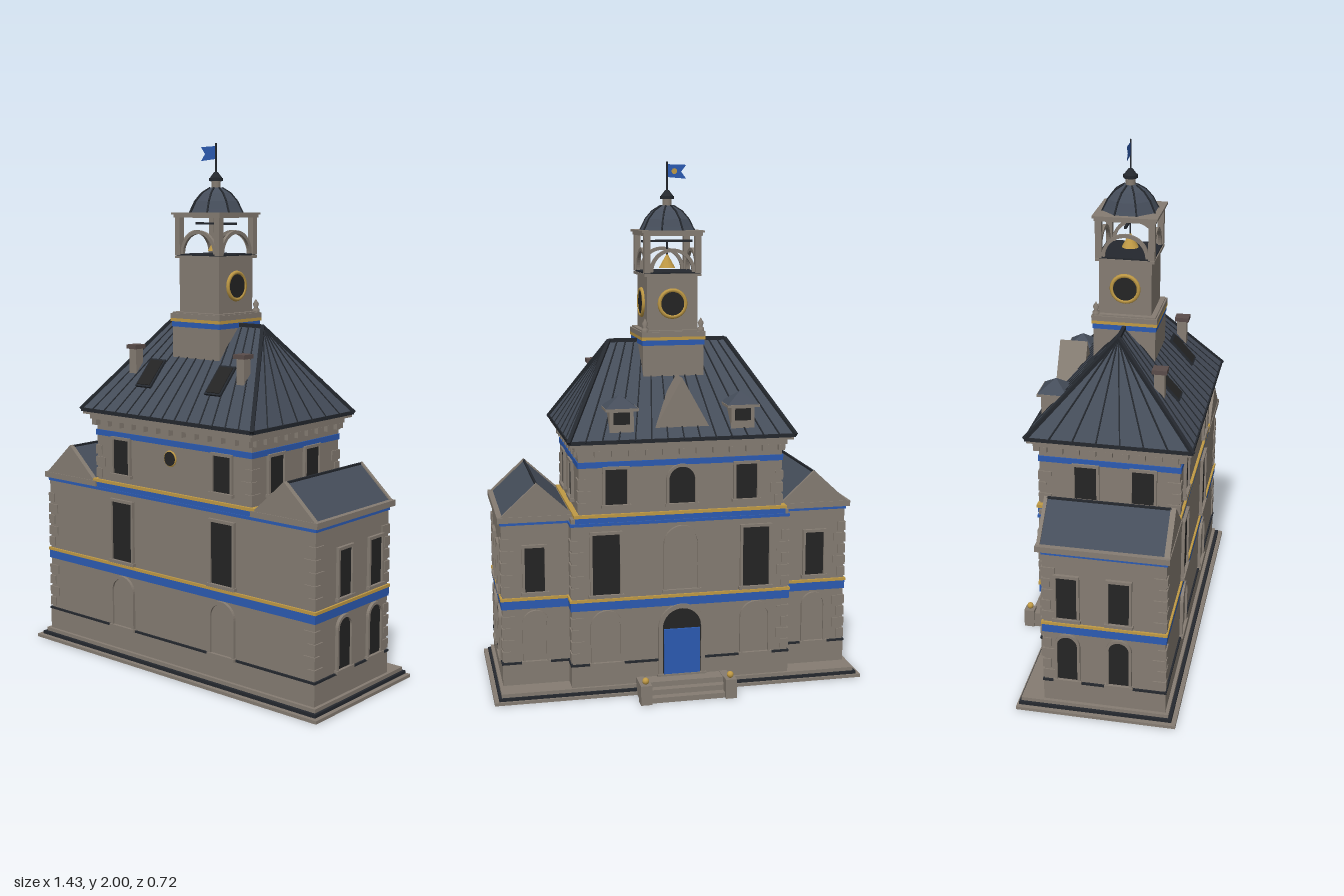
import * as THREE from 'three';
import { ConvexGeometry } from 'three/addons/geometries/ConvexGeometry.js';

const mat = (name, color, side = THREE.FrontSide) => {
  const m = new THREE.MeshStandardMaterial({ color, side });
  m.name = name;
  return m;
};

export function createModel() {
  const stone = mat('stone', 0x857c72), slate = mat('slate', 0x454d5a), seamMat = mat('darkLead', 0x24282e);
  const blue = mat('blue', 0x2c5bb2, THREE.DoubleSide), gold = mat('gold', 0xc09a45), glass = mat('darkGlass', 0x242424);
  const chimneyTop = mat('chimneyPot', 0x5a4c4a);
  const root = new THREE.Group();
  const V = (x, y, z) => new THREE.Vector3(x, y, z);

  const add = (name, geo, m, parent = root) => {
    const mesh = new THREE.Mesh(geo, m);
    mesh.name = name;
    parent.add(mesh);
    return mesh;
  };
  // box given by its limits on each axis
  const box = (name, x0, x1, y0, y1, z0, z1, m = stone, parent = root) => {
    const b = add(name, new THREE.BoxGeometry(x1 - x0, y1 - y0, z1 - z0), m, parent);
    b.position.set((x0 + x1) / 2, (y0 + y1) / 2, (z0 + z1) / 2);
    return b;
  };
  const hull = (name, pts, m) => add(name, new ConvexGeometry(pts.map(p => V(...p))), m);
  // square bar between two points
  const bar = (name, a, b, t, m = seamMat) => {
    const d = b.clone().sub(a);
    const r = add(name, new THREE.BoxGeometry(t, t, d.length()), m);
    r.position.copy(a).addScaledVector(d, 0.5);
    r.lookAt(b);
    return r;
  };
  const outline = (w, h, arched, target) => {
    const r = w / 2;
    target.moveTo(-r, 0);
    target.lineTo(r, 0);
    if (arched) {
      target.lineTo(r, h - r);
      target.absarc(0, h - r, r, 0, Math.PI, false);
    } else {
      target.lineTo(r, h);
      target.lineTo(-r, h);
    }
    target.closePath();
    return target;
  };
  const turn = { front: 0, right: Math.PI / 2, back: Math.PI, left: -Math.PI / 2 };
  const facing = (name, side, x, y, z) => {
    const g = new THREE.Group();
    g.name = name;
    g.position.set(x, y, z);
    g.rotation.y = turn[side];
    root.add(g);
    return g;
  };
  // framed opening with pane and sill
  const opening = (name, side, x, y, z, w, h, arched, fill = glass, b = 0.01) => {
    const g = facing(name, side, x, y, z);
    const s = outline(w + 2 * b, h + b, arched, new THREE.Shape());
    s.holes.push(outline(w, h, arched, new THREE.Path()).translateY?.(0) ?? outline(w, h - 0.001, arched, new THREE.Path()));
    add('frame', new THREE.ExtrudeGeometry(s, { depth: 0.012, bevelEnabled: false, curveSegments: 10 }), stone, g);
    const pane = new THREE.ExtrudeGeometry(outline(w, h, arched, new THREE.Shape()), { depth: 0.004, bevelEnabled: false, curveSegments: 10 });
    add('pane', pane, fill, g);
    box('sill', -w / 2 - b - 0.005, w / 2 + b + 0.005, -0.01, 0.002, 0, 0.016, stone, g);
    return g;
  };

  // footing, walls and string courses
  box('footing', -0.717, 0.717, 0, 0.012, -0.25, 0.352);
  box('footingShadowStep', -0.70, 0.70, 0.012, 0.024, -0.242, 0.335, seamMat);
  box('footingStep', -0.69, 0.69, 0.024, 0.038, -0.235, 0.322);
  const tier = (name, y0, y1, m, grow) => {
    box(name, -0.673 - grow, 0.673 + grow, y0, y1, -0.145 - grow, 0.305 + grow, m);
    box(name + 'Pavilion', -0.42 - grow, 0.42 + grow, y0, y1, -0.22 - grow, 0.305 + grow, m);
  };
  tier('lowerWall', 0.03, 0.69, stone, 0);
  tier('plinth', 0.03, 0.12, stone, 0.004);
  tier('plinthLine', 0.12, 0.128, seamMat, 0.007);
  tier('blueBand', 0.337, 0.37, blue, 0.005);
  tier('goldBand', 0.37, 0.381, gold, 0.008);
  tier('upperBlueBand', 0.662, 0.673, blue, 0.004);
  box('eavesBlueBand', -0.405, 0.405, 0.675, 0.695, -0.227, 0.312, blue);
  box('eavesGoldBand', -0.41, 0.41, 0.695, 0.707, -0.23, 0.315, gold);
  box('upperWall', -0.39, 0.39, 0.68, 0.96, -0.22, 0.305);
  box('topBlueBand', -0.394, 0.394, 0.883, 0.905, -0.224, 0.309, blue);
  box('corniceLower', -0.405, 0.405, 0.948, 0.968, -0.24, 0.33);
  box('corniceUpper', -0.425, 0.425, 0.968, 0.986, -0.258, 0.348);
  for (let i = 0; i < 13; i++) {
    const x = -0.384 + i * 0.064;
    for (const z of [-0.229, 0.317]) box('bracket', x - 0.012, x + 0.012, 0.925, 0.948, z - 0.012, z + 0.012);
    if (i < 9) for (const s of [-1, 1]) {
      const z = -0.2 + i * 0.061;
      box('bracket', s * 0.397 - 0.009, s * 0.397 + 0.009, 0.925, 0.948, z - 0.012, z + 0.012);
    }
  }

  // corner quoins
  const quoins = (x, z, y0, y1) => {
    for (let y = y0, i = 0; y + 0.03 < y1; y += 0.046, i++) {
      const a = i % 2 ? 0.05 : 0.032, b = i % 2 ? 0.032 : 0.05, sx = Math.sign(x), sz = Math.sign(z);
      const q = add('quoin', new THREE.BoxGeometry(a, 0.036, b), stone);
      q.position.set(x - sx * (a / 2 - 0.005), y + 0.018, z - sz * (b / 2 - 0.005));
    }
  };
  for (const s of [-1, 1]) {
    for (const [x, z] of [[0.673, 0.305], [0.673, -0.145], [0.42, -0.22]]) {
      quoins(s * x, z, 0.135, 0.335);
      quoins(s * x, z, 0.39, 0.65);
    }
    for (const z of [0.305, -0.22]) quoins(s * 0.39, z, 0.715, 0.88);
  }

  // gabled wing roofs
  const gable = (name, c, hw, y0, y1, z0, z1, m) =>
    hull(name, [z0, z1].flatMap(z => [[c - hw, y0, z], [c + hw, y0, z], [c, y1, z]]), m);
  for (const s of [-1, 1]) {
    const c = s * 0.54;
    box('wingCornice', c - 0.148, c + 0.148, 0.676, 0.698, -0.168, 0.318);
    gable('wingRoof', c, 0.128, 0.698, 0.817, -0.155, 0.297, slate);
    for (const [a, b] of [[-0.165, -0.152], [0.295, 0.315]]) gable('wingPediment', c, 0.136, 0.698, 0.823, a, b, stone);
    bar('wingRidge', V(c, 0.817, -0.155), V(c, 0.817, 0.3), 0.008);
  }

  // main hipped roof with raised seams
  const ex = 0.43, z0 = -0.265, z1 = 0.355, zr = 0.045, ye = 0.986, yr = 1.325, rx = 0.228;
  box('eaves', -ex, ex, 0.978, 0.992, z0, z1, seamMat);
  hull('mainRoof', [[-ex, ye, z0], [ex, ye, z0], [-ex, ye, z1], [ex, ye, z1], [-rx, yr, zr], [rx, yr, zr]], slate);
  bar('ridge', V(-rx, yr, zr), V(rx, yr, zr), 0.014);
  for (const s of [-1, 1]) {
    for (const z of [z0, z1]) bar('hip', V(s * ex, ye, z), V(s * rx, yr, zr), 0.014);
    for (let i = 1; i < 7; i++) bar('seam', V(s * ex, ye, z0 + (z1 - z0) * i / 7), V(s * rx, yr, zr), 0.005);
  }
  for (const z of [z0, z1]) for (let i = 1; i < 14; i++) {
    const t = -1 + i / 7;
    bar('seam', V(t * ex, ye, z), V(t * rx, yr, zr), 0.005);
  }

  // chimneys, skylights and dormers
  const slope = Math.atan2(yr - ye, z1 - zr);
  for (const s of [-1, 1]) {
    const cx = s * 0.27, dx = s * 0.23;
    box('chimney', cx - 0.018, cx + 0.018, 1.05, 1.225, 0.188, 0.226);
    box('chimneyCap', cx - 0.025, cx + 0.025, 1.222, 1.238, 0.18, 0.235, chimneyTop);
    const sky = new THREE.Group();
    sky.name = 'skylight';
    sky.position.set(s * 0.175, 1.132, 0.222);
    sky.rotation.x = slope - Math.PI / 2;
    root.add(sky);
    box('skylightFrame', -0.039, 0.039, -0.066, 0.066, -0.01, 0.008, seamMat, sky);
    box('skylightPane', -0.032, 0.032, -0.058, 0.058, 0.008, 0.011, glass, sky);
    box('dormer', dx - 0.045, dx + 0.045, 1.0, 1.1, -0.238, -0.13);
    box('dormerWindow', dx - 0.03, dx + 0.03, 1.045, 1.09, -0.242, -0.238, glass);
    box('dormerCornice', dx - 0.062, dx + 0.062, 1.095, 1.105, -0.25, -0.14);
    hull('dormerRoof', [[dx - 0.06, 1.105, -0.248], [dx + 0.06, 1.105, -0.248], [dx - 0.06, 1.105, -0.135],
      [dx + 0.06, 1.105, -0.135], [dx, 1.15, -0.19]], slate);
  }
  gable('backGable', 0, 0.12, 0.995, 1.21, -0.228, -0.12, stone);

  // front and back openings
  for (const s of [-1, 1]) {
    opening('blindArch', 'front', s * 0.255, 0.13, 0.305, 0.102, 0.195, true, stone);
    opening('mainWindow', 'front', s * 0.255, 0.395, 0.305, 0.104, 0.235, false);
    opening('upperWindow', 'front', s * 0.255, 0.74, 0.305, 0.082, 0.137, false);
    opening('blindArch', 'back', s * 0.29, 0.13, -0.22, 0.102, 0.195, true, stone);
    opening('mainWindow', 'back', s * 0.29, 0.395, -0.22, 0.104, 0.235, false);
    opening('upperWindow', 'back', s * 0.25, 0.74, -0.22, 0.082, 0.137, false);
    opening('wingBlindArch', 'back', s * 0.55, 0.13, -0.145, 0.08, 0.19, true, stone);
    opening('wingWindow', 'back', s * 0.55, 0.4, -0.145, 0.075, 0.175, false);
    const side = s > 0 ? 'right' : 'left';
    for (const z of [0.135, -0.057]) {
      opening('sideArchWindow', side, s * 0.673, 0.135, z, 0.075, 0.19, true);
      opening('sideWindow', side, s * 0.673, 0.4, z, 0.075, 0.175, false);
    }
    for (const z of [0.17, -0.045]) opening('sideUpperWindow', side, s * 0.39, 0.74, z, 0.082, 0.137, false);
  }
  opening('centreBlindArch', 'back', 0, 0.4, -0.22, 0.12, 0.24, true, stone);
  opening('centreArchWindow', 'back', 0, 0.735, -0.22, 0.1, 0.142, true);
  opening('doorway', 'back', 0, 0.065, -0.22, 0.15, 0.262, true, glass, 0.016);
  box('door', -0.07, 0.07, 0.067, 0.245, -0.232, -0.222, blue);

  // round dial with a gold rim
  const dial = (name, side, x, y, z, r) => {
    const g = facing(name, side, x, y, z);
    add('dialFace', new THREE.CylinderGeometry(r, r, 0.008, 24).rotateX(Math.PI / 2), glass, g);
    add('dialRim', new THREE.TorusGeometry(r, r * 0.16, 6, 24), gold, g);
  };
  dial('oculus', 'front', 0, 0.835, 0.308, 0.027);

  // entrance steps
  for (let i = 0; i < 3; i++) box('step', -0.15, 0.15, 0, 0.02 * (i + 1), -0.345 + i * 0.03, -0.22);
  for (const s of [-1, 1]) {
    const x = s * 0.163;
    box('stepCheek', x - 0.015, x + 0.015, 0, 0.062, -0.345, -0.22);
    box('stepPost', x - 0.021, x + 0.021, 0, 0.075, -0.358, -0.317);
    add('postBall', new THREE.SphereGeometry(0.013, 10, 8), gold).position.set(x, 0.088, -0.337);
  }

  // clock tower
  const square = (name, h, y0, y1, m = stone) => box(name, -h, h, y0, y1, zr - h, zr + h, m);
  square('towerBase', 0.117, 1.1, 1.37);
  square('towerBlueBand', 0.12, 1.314, 1.334, blue);
  square('towerGoldBand', 0.123, 1.334, 1.346, gold);
  square('towerLedge', 0.123, 1.346, 1.365);
  square('towerShaft', 0.098, 1.36, 1.575);
  square('belfryFloor', 0.11, 1.573, 1.583);
  square('belfryFloorEdge', 0.106, 1.583, 1.589, seamMat);
  dial('clock', 'right', 0.101, 1.47, zr, 0.05);
  dial('clock', 'left', -0.101, 1.47, zr, 0.05);
  dial('clock', 'back', 0, 1.47, zr - 0.101, 0.05);
  for (const s of [-1, 1]) {
    const p = add('pinnacle', new THREE.LatheGeometry([[0.014, 0], [0.014, 0.012], [0.007, 0.018], [0.012, 0.032], [0, 0.052]]
      .map(a => new THREE.Vector2(...a)), 8), stone);
    p.position.set(s * 0.108, 1.365, zr - 0.108);
    for (const t of [-1, 1]) {
      const x = s * 0.098, z = zr + t * 0.098;
      box('belfryPost', x - 0.012, x + 0.012, 1.585, 1.735, z - 0.012, z + 0.012);
    }
  }
  const arch = new THREE.Shape().absarc(0, 0, 0.088, 0, Math.PI, false);
  arch.absarc(0, 0, 0.075, Math.PI, 0, true);
  for (const [side, x, z] of [['front', 0, 0.092], ['back', 0, -0.092], ['right', 0.092, 0], ['left', -0.092, 0]])
    add('belfryArch', new THREE.ExtrudeGeometry(arch, { depth: 0.012, bevelEnabled: false }), stone, facing('archway', side, x, 1.589, zr + z));
  bar('bellBeam', V(-0.1, 1.702, zr), V(0.1, 1.702, zr), 0.009);
  bar('bellRod', V(0, 1.65, zr), V(0, 1.702, zr + 0.0001), 0.005);
  add('bell', new THREE.ConeGeometry(0.032, 0.056, 12), gold).position.set(0, 1.628, zr);
  square('belfryCornice', 0.114, 1.724, 1.736);
  square('belfryCorniceTop', 0.12, 1.736, 1.744);

  // octagonal dome, finial, mast and flag
  const profile = [[0.106, 1.742], [0.098, 1.757], [0.084, 1.785], [0.058, 1.815], [0.025, 1.835], [0, 1.838]];
  const dome = add('dome', new THREE.LatheGeometry(profile.map(a => new THREE.Vector2(...a)), 8, Math.PI / 8).toNonIndexed(), slate);
  dome.geometry.computeVertexNormals();
  dome.position.z = zr;
  for (let k = 0; k < 8; k++) for (let i = 0; i < 4; i++) {
    const a = Math.PI / 8 + k * Math.PI / 4;
    const [p, q] = [profile[i], profile[i + 1]].map(([r, y]) => V(r * Math.sin(a), y, zr + r * Math.cos(a)));
    bar('domeRib', p, q, 0.006);
  }
  const round = (name, r0, r1, y0, y1, m) =>
    add(name, new THREE.CylinderGeometry(r1, r0, y1 - y0, 12), m).position.set(0, (y0 + y1) / 2, zr);
  round('finialNeck', 0.018, 0.018, 1.832, 1.862, stone);
  round('finialCap', 0.027, 0.027, 1.86, 1.872, seamMat);
  round('finialTop', 0.024, 0.008, 1.872, 1.893, seamMat);
  round('mast', 0.003, 0.003, 1.89, 2.0, seamMat);
  const flag = new THREE.Shape([[0, 1.942], [-0.075, 1.936], [-0.055, 1.962], [-0.075, 1.988], [0, 1.99]].map(a => new THREE.Vector2(...a)));
  add('flag', new THREE.ShapeGeometry(flag), blue).position.z = zr;
  const spot = add('flagSpot', new THREE.CircleGeometry(0.011, 12), gold);
  spot.rotation.y = Math.PI;
  spot.position.set(-0.028, 1.964, zr - 0.002);

  return root;
}
